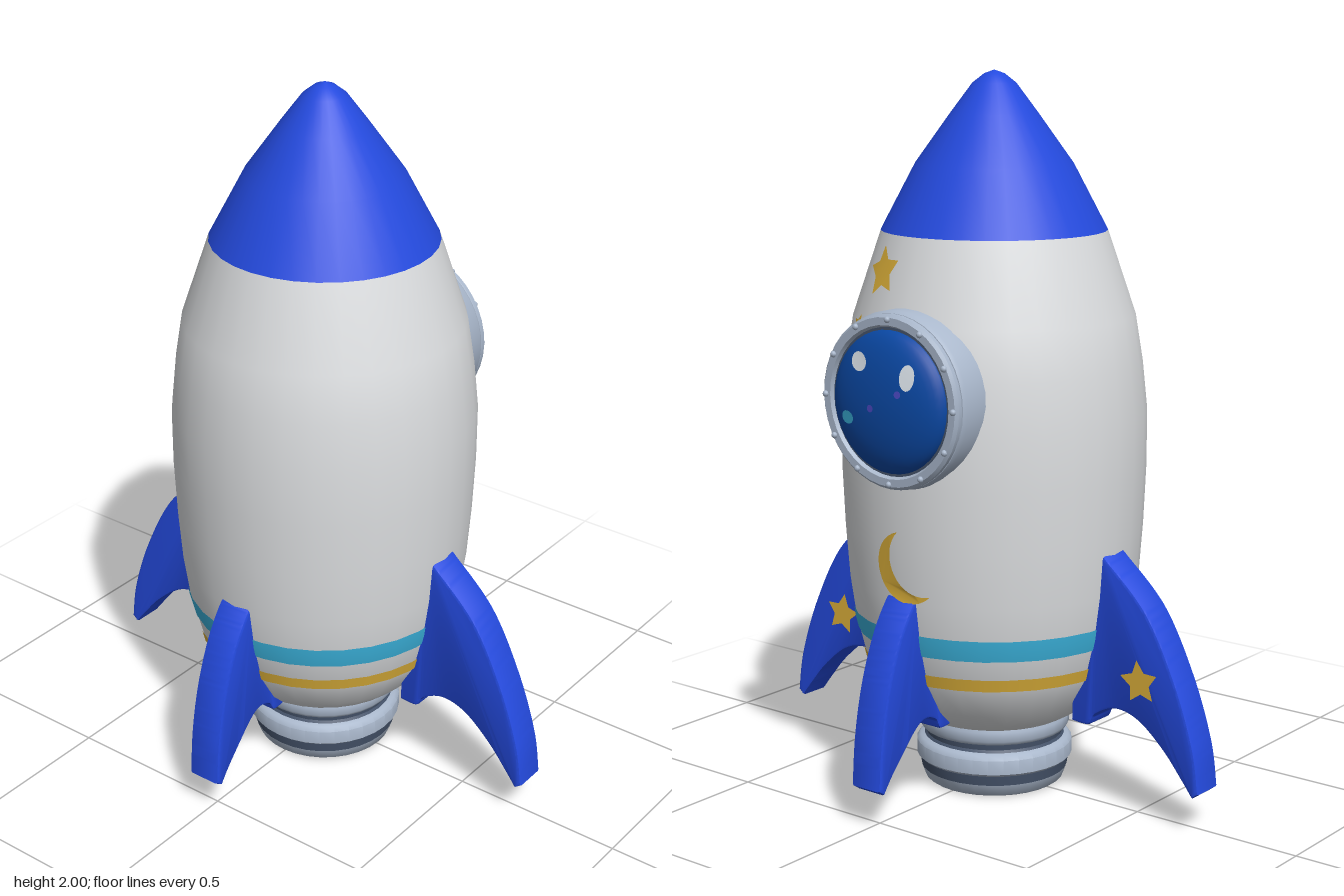
import * as THREE from 'three';
import { toCreasedNormals } from 'three/addons/utils/BufferGeometryUtils.js';

// Hull outline as [radius, height], from base to tip
const PROFILE = [[0.217, 0.2], [0.26, 0.225], [0.307, 0.27], [0.36, 0.36], [0.39, 0.48], [0.407, 0.6],
  [0.418, 0.75], [0.425, 0.915], [0.425, 1.075], [0.411, 1.21], [0.39, 1.34], [0.312, 1.57],
  [0.217, 1.75], [0.12, 1.885], [0.06, 1.965], [0.028, 1.99], [0, 2]];

function hullRadius(y) {
  for (let i = 1; i < PROFILE.length; i++) {
    const [r0, y0] = PROFILE[i - 1], [r1, y1] = PROFILE[i];
    if (y <= y1) return r0 + (r1 - r0) * (y - y0) / (y1 - y0);
  }
  return 0;
}

// Part of the hull outline between two heights
function section(y0, y1, offset = 0) {
  const middle = PROFILE.filter(([, y]) => y > y0 + 0.001 && y < y1 - 0.001);
  return [[hullRadius(y0), y0], ...middle, [hullRadius(y1), y1]].map(([r, y]) => [r + offset, y]);
}

const lathe = (points, segments = 32) =>
  new THREE.LatheGeometry(points.map(([r, y]) => new THREE.Vector2(Math.max(r, 0), y)), segments);

function starShape(radius, tilt = 0) {
  const points = [];
  for (let i = 0; i < 10; i++) {
    const a = Math.PI / 2 + tilt + i * Math.PI / 5, r = i % 2 ? radius * 0.52 : radius;
    points.push(new THREE.Vector2(r * Math.cos(a), r * Math.sin(a)));
  }
  return new THREE.Shape(points);
}

function moonShape(radius, facing) {
  const tip = 1.31, k = 0.5 * radius;
  const along = radius * Math.cos(tip) - k, across = radius * Math.sin(tip);
  const inner = Math.hypot(along, across), a = Math.atan2(across, along);
  const shape = new THREE.Shape();
  shape.absarc(0, 0, radius, facing + tip, facing - tip + 2 * Math.PI, false);
  shape.absarc(k * Math.cos(facing), k * Math.sin(facing), inner, facing - a, facing + a, true);
  return shape;
}

function ovalShape(rx, ry, tilt = 0) {
  const shape = new THREE.Shape();
  shape.absellipse(0, 0, rx, ry, 0, 2 * Math.PI, false, tilt);
  return shape;
}

// Flat shape wrapped on a rear surface; u runs right as seen from behind
function rearDecal(shape, u, v, depth) {
  const geometry = new THREE.ShapeGeometry(shape, 10);
  const p = geometry.attributes.position;
  for (let i = 0; i < p.count; i++) {
    const x = -(p.getX(i) + u), y = p.getY(i) + v;
    p.setXYZ(i, x, y, -depth(x, y));
  }
  geometry.computeVertexNormals();
  return geometry;
}

// Swept fin, drawn as radius against height
function finGeometry(outer, inner, root) {
  const vec = ([x, y]) => new THREE.Vector2(x, y);
  const shape = new THREE.Shape();
  shape.moveTo(...root);
  shape.lineTo(root[0], inner[inner.length - 1][1]);
  const under = inner.slice().reverse().map(vec);
  shape.lineTo(under[0].x, under[0].y);
  shape.splineThru(under.slice(1));
  shape.lineTo(...outer[outer.length - 1]);
  shape.splineThru(outer.slice(0, -1).reverse().map(vec));
  const geometry = new THREE.ExtrudeGeometry(shape, {
    depth: 0.084, bevelEnabled: true, bevelThickness: 0.008, bevelSize: 0.008,
    bevelOffset: -0.008, bevelSegments: 2, curveSegments: 12,
  });
  geometry.translate(0, 0, -0.042);
  return toCreasedNormals(geometry, 0.5);
}

export function createModel() {
  const group = new THREE.Group();
  const paint = (name, color) => {
    const m = new THREE.MeshStandardMaterial({ color });
    m.name = name;
    return m;
  };
  const white = paint('hullWhite', 0xdcdee0), blue = paint('rocketBlue', 0x244ade);
  const cyan = paint('cyan', 0x3cb4de), gold = paint('gold', 0xdcb03a);
  const steel = paint('steel', 0xa9b7cb), slate = paint('slate', 0x45536a);
  const glass = paint('glassBlue', 0x0a48a4), shine = paint('shineWhite', 0xe8f0f8);
  const violet = paint('violet', 0x4a48c0);
  const add = (name, geometry, material, parent = group) => {
    const mesh = new THREE.Mesh(geometry, material);
    mesh.name = name;
    parent.add(mesh);
    return mesh;
  };

  // Hull, nose and painted bands
  add('hull', lathe(section(0.2, 1.57)), white);
  add('hullBase', lathe([[0, 0.2], [0.217, 0.2]]), white);
  add('noseCone', lathe(section(1.57, 2)), blue);
  add('cyanBand', lathe(section(0.45, 0.51, 0.003)), cyan);
  add('goldBand', lathe(section(0.36, 0.395, 0.003)), gold);

  // Engine nozzle, stacked rings with a hollow mouth
  const ring = (name, points, material) => add(name, toCreasedNormals(lathe(points), 0.7), material);
  ring('upperNozzleRing', [[0.195, 0.15], [0.207, 0.154], [0.214, 0.165], [0.214, 0.19], [0.205, 0.21]], steel);
  ring('upperGroove', [[0.2, 0.128], [0.195, 0.135], [0.197, 0.152]], slate);
  ring('lowerNozzleRing', [[0.213, 0.064], [0.222, 0.072], [0.222, 0.112], [0.212, 0.124], [0.19, 0.13]], steel);
  ring('lowerGroove', [[0.208, 0.034], [0.213, 0.066]], slate);
  ring('nozzleLip', [[0.148, 0.004], [0.155, 0], [0.19, 0], [0.198, 0.006], [0.209, 0.036]], steel);
  ring('nozzleMouth', [[0, 0.12], [0.105, 0.12], [0.148, 0.004]], slate);

  // Four fins, the side pair larger
  const sideFin = finGeometry(
    [[0.39, 0.735], [0.42, 0.71], [0.55, 0.585], [0.645, 0.41], [0.705, 0.24], [0.725, 0.115]],
    [[0.705, 0.1], [0.67, 0.145], [0.61, 0.215], [0.53, 0.28], [0.455, 0.298], [0.39, 0.27], [0.365, 0.235], [0.31, 0.235]],
    [0.31, 0.6]);
  const endFin = finGeometry(
    [[0.375, 0.618], [0.405, 0.61], [0.465, 0.52], [0.515, 0.39], [0.545, 0.25], [0.557, 0.115]],
    [[0.535, 0.1], [0.505, 0.14], [0.455, 0.195], [0.40, 0.25], [0.36, 0.268], [0.32, 0.255], [0.3, 0.225], [0.26, 0.225]],
    [0.26, 0.5]);
  ['leftFin', 'backFin', 'rightFin', 'frontFin'].forEach((name, i) => {
    add(name, i % 2 ? endFin : sideFin, blue).rotation.y = i * Math.PI / 2;
  });
  for (const side of [-1, 1]) {
    add('finStar', rearDecal(starShape(0.062, side * 0.15), side * 0.535, 0.39, () => 0.053), gold);
  }

  // Stars and moon painted on the back of the hull
  const onHull = (x, y) => Math.sqrt(hullRadius(y) ** 2 - x * x) + 0.006;
  add('largeStar', rearDecal(starShape(0.068, 0.2), -0.12, 1.475, onHull), gold);
  add('smallStar', rearDecal(starShape(0.032, -0.2), -0.19, 1.325, onHull), gold);
  add('moon', rearDecal(moonShape(0.1, 0.5), 0.03, 0.7, onHull), gold);

  // Round porthole facing the back
  const porthole = new THREE.Group();
  porthole.name = 'porthole';
  porthole.position.y = 1.15;
  group.add(porthole);
  const frame = (name, points, material) =>
    add(name, toCreasedNormals(lathe(points, 40).rotateX(-Math.PI / 2), 0.7), material, porthole);
  frame('portholeFrame', [[0.24, 0.3], [0.24, 0.415], [0.234, 0.426], [0.222, 0.428]], steel);
  frame('portholeFlange', [[0.228, 0.424], [0.234, 0.43], [0.234, 0.442], [0.226, 0.45], [0.205, 0.45], [0.197, 0.436]], steel);
  frame('portholeSeal', [[0.199, 0.44], [0.186, 0.44]], slate);
  const dome = new THREE.SphereGeometry(1, 40, 10, 0, 2 * Math.PI, 0, Math.PI / 2);
  add('portholeGlass', dome.scale(0.193, 0.06, 0.193).rotateX(-Math.PI / 2).translate(0, 0, -0.436), glass, porthole);
  const bolt = new THREE.SphereGeometry(0.009, 8, 6);
  for (let i = 0; i < 12; i++) {
    const a = i * Math.PI / 6;
    add('bolt', bolt, steel, porthole).position.set(0.22 * Math.cos(a), 0.22 * Math.sin(a), -0.45);
  }

  // Reflections on the glass
  const onGlass = (x, y) => 0.44 + 0.06 * Math.sqrt(Math.max(0, 1 - (x * x + y * y) / 0.193 ** 2));
  add('leftShine', rearDecal(ovalShape(0.03, 0.024, -0.4), -0.07, 0.108, onGlass), shine, porthole);
  add('rightShine', rearDecal(ovalShape(0.022, 0.034), 0.095, 0.08, onGlass), shine, porthole);
  add('cyanGlint', rearDecal(ovalShape(0.024, 0.018), -0.11, -0.045, onGlass), cyan, porthole);
  add('violetGlint', rearDecal(ovalShape(0.01, 0.01), -0.02, -0.01, onGlass), violet, porthole);
  add('violetGlint', rearDecal(ovalShape(0.01, 0.01), 0.07, 0.035, onGlass), violet, porthole);
  return group;
}
